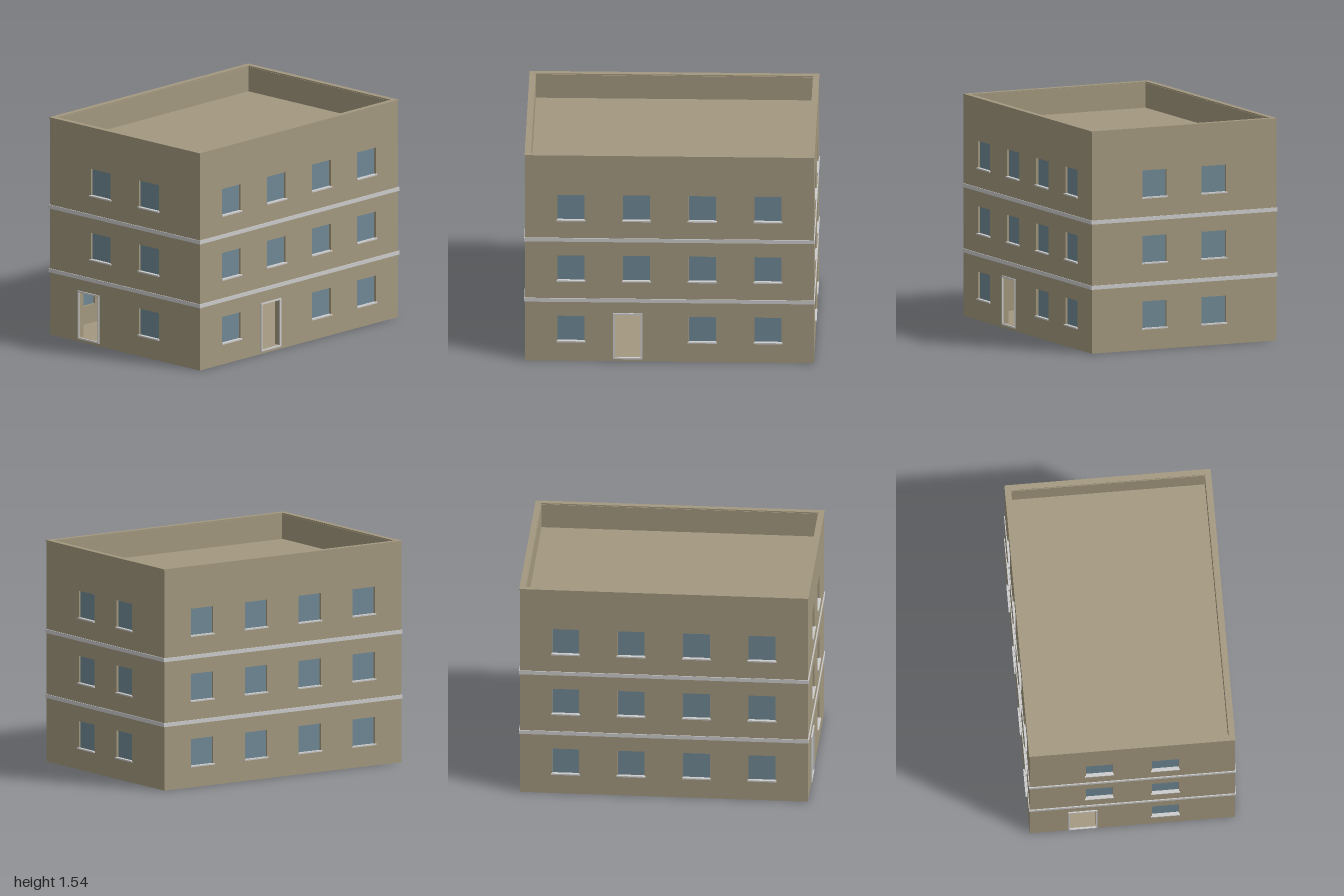
import * as THREE from 'three';

const W = 0.99, D = 0.706, T = 0.04, STOREY = 0.4535, TOP = 1.533;

function material(name, color) {
  const m = new THREE.MeshStandardMaterial({ color });
  m.name = name;
  return m;
}

function rectangle(target, x0, y0, x1, y1) {
  target.moveTo(x0, y0);
  target.lineTo(x1, y0);
  target.lineTo(x1, y1);
  target.lineTo(x0, y1);
  target.closePath();
  return target;
}

// Rectangle with rectangular holes, each [x0, y0, x1, y1], extruded along +z
function panel(outer, holes, depth) {
  const shape = rectangle(new THREE.Shape(), ...outer);
  holes.forEach((h) => shape.holes.push(rectangle(new THREE.Path(), ...h)));
  return new THREE.ExtrudeGeometry(shape, { depth, bevelEnabled: false });
}

function add(parent, name, geometry, mat, x = 0, y = 0, z = 0) {
  const mesh = new THREE.Mesh(geometry, mat);
  mesh.name = name;
  mesh.position.set(x, y, z);
  parent.add(mesh);
  return mesh;
}

export function createModel() {
  const building = new THREE.Group();
  building.name = 'building';
  const stone = material('wallStone', 0xa3987f);
  const trim = material('paleTrim', 0xcccccc);
  const glass = material('windowGlass', 0x6f8894);

  const winW = 0.186, winH = 0.187, sillY = 0.15;
  const doorW = 0.178, doorBase = 0.03, doorTop = 0.35;

  // One wall built facing +z, then turned into place
  function wall(name, angle, halfLength, distance, columns, door, skipColumn) {
    const group = new THREE.Group();
    group.name = name;
    group.rotation.y = angle;
    building.add(group);
    const holes = [];
    for (let floor = 0; floor < 3; floor++) {
      for (const u of columns) {
        if (floor === 0 && u === skipColumn) continue;
        const y = sillY + floor * STOREY;
        holes.push([u - winW / 2, y, u + winW / 2, y + winH]);
        add(group, 'windowPane', new THREE.BoxGeometry(winW, winH, 0.009), glass, u, y + winH / 2, distance - T / 2);
        add(group, 'windowSill', new THREE.BoxGeometry(0.2, 0.009, 0.03), trim, u, y - 0.0035, distance - 0.005);
      }
    }
    if (door !== undefined) {
      const opening = [door - doorW / 2, doorBase, door + doorW / 2, doorTop];
      holes.push(opening);
      const b = 0.011;
      const outer = [opening[0] - b, doorBase - b, opening[2] + b, doorTop + b];
      add(group, 'doorFrame', panel(outer, [opening], 0.012), trim, 0, 0, distance - 0.003);
    }
    add(group, 'wallPanel', panel([-halfLength, 0, halfLength, TOP], holes, T), stone, 0, 0, distance - T);
  }

  const longColumns = [-0.675, -0.225, 0.225, 0.675];
  const shortColumns = [-0.227, 0.227];
  wall('frontWall', 0, W, D, longColumns, -0.286, -0.225);
  wall('backWall', Math.PI, W, D, longColumns);
  wall('leftWall', Math.PI / 2, D - T, W, shortColumns);
  wall('rightWall', -Math.PI / 2, D - T, W, shortColumns, -0.34, -0.227);

  // Horizontal ring around the building
  function ring(name, overhang, inset, y, height, mat) {
    const x = W + overhang, z = D + overhang, xi = W - inset, zi = D - inset;
    const mesh = add(building, name, panel([-x, -z, x, z], [[-xi, -zi, xi, zi]], height), mat, 0, y, 0);
    mesh.rotation.x = -Math.PI / 2;
  }
  ring('lowerBand', 0.006, 0.005, 0.443, 0.027, trim);
  ring('upperBand', 0.006, 0.005, 0.895, 0.027, trim);
  ring('parapetCoping', 0.004, 0.036, TOP, 0.008, stone);

  // Ground slab, floors and sunken roof
  [0.02, 0.455, 0.909, 1.36].forEach((top, i) => {
    const names = ['groundSlab', 'firstFloor', 'secondFloor', 'roofDeck'];
    add(building, names[i], new THREE.BoxGeometry(2 * (W - T), 0.02, 2 * (D - T)), stone, 0, top - 0.01, 0);
  });

  return building;
}
